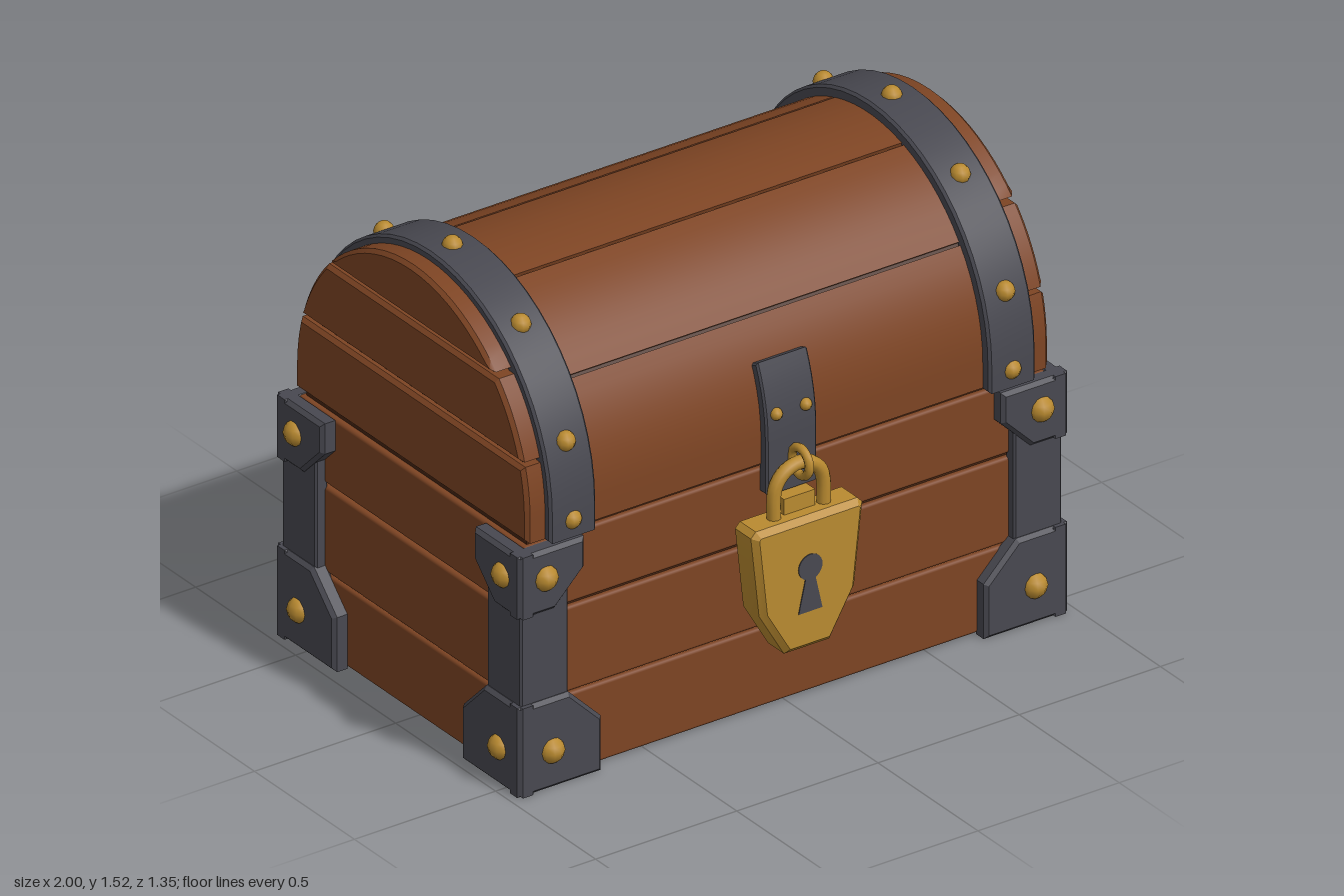
import * as THREE from 'three';
import { toCreasedNormals } from 'three/addons/utils/BufferGeometryUtils.js';
import { RoundedBoxGeometry } from 'three/addons/geometries/RoundedBoxGeometry.js';

const mat = (name, color) => {
  const m = new THREE.MeshStandardMaterial({ color });
  m.name = name;
  return m;
};

const LID_Y = 0.89;   // centre height of the lid arch
const LID_BASE = 0.81;

export function createModel() {
  const wood = mat('wood', 0x7d4423);
  const darkWood = mat('dark wood', 0x452412);
  const iron = mat('iron', 0x484850);
  const brass = mat('brass', 0xb98a30);

  const model = new THREE.Group();
  model.name = 'treasureChest';
  const chest = new THREE.Group();
  chest.name = 'chest';
  chest.position.z = -0.03;
  model.add(chest);

  const add = (name, geo, material, x = 0, y = 0, z = 0, parent = chest) => {
    const m = new THREE.Mesh(geo, material);
    m.name = name;
    m.position.set(x, y, z);
    parent.add(m);
    return m;
  };

  // Bevelled slab centred on its own thickness
  const slab = (pts, t, bevel = 0.012) => {
    const shape = new THREE.Shape(pts.map(p => new THREE.Vector2(p[0], p[1])));
    const geo = new THREE.ExtrudeGeometry(shape, {
      depth: t - 2 * bevel, bevelEnabled: bevel > 0, bevelThickness: bevel,
      bevelSize: bevel, bevelOffset: -bevel, bevelSegments: 1, curveSegments: 8,
    });
    geo.translate(0, 0, -t / 2 + bevel);
    return toCreasedNormals(geo, 0.5);
  };
  // Same slab with its outline in the z-y plane
  const slabX = (pts, t, bevel) => slab(pts, t, bevel).rotateY(-Math.PI / 2);

  // Points on the lid arch, angles in degrees from the front
  const arc = (r, a0, a1, n) => Array.from({ length: n + 1 }, (_, i) => {
    const a = THREE.MathUtils.degToRad(a0 + (a1 - a0) * i / n);
    return [r * Math.cos(a), LID_Y + r * Math.sin(a)];
  });
  // Curved band, optionally with straight legs down to a base height
  const band = (rIn, rOut, a0, a1, n, frontLeg, backLeg) => {
    const side = r => [
      ...(frontLeg ? [[r, frontLeg]] : []), ...arc(r, a0, a1, n),
      ...(backLeg ? [[-r, backLeg]] : []),
    ];
    return [...side(rOut), ...side(rIn).reverse()];
  };

  const rivetGeo = new THREE.SphereGeometry(1, 10, 6);
  const rivet = (r, x, y, z, parent) => add('rivet', rivetGeo, brass, x, y, z, parent).scale.setScalar(r);

  // Box: dark core and three plank courses
  add('boxCore', new THREE.BoxGeometry(1.81, 0.79, 1.1), darkWood, 0, 0.415, 0);
  for (const [y0, y1] of [[0.005, 0.264], [0.27, 0.55], [0.562, 0.792]])
    add('boxPlank', new RoundedBoxGeometry(1.85, y1 - y0, 1.135, 1, 0.01), wood, 0, (y0 + y1) / 2, 0);

  // Lid: dark core, curved planks along the top
  add('lidCore', slabX([[0.55, LID_BASE], ...arc(0.55, 0, 180, 28), [-0.55, LID_BASE]], 1.8, 0), darkWood);
  const seams = [0, 37, 72.5, 107.5, 143, 180];
  for (let i = 0; i < 5; i++) {
    const a0 = seams[i] + (i ? 0.5 : 0), a1 = seams[i + 1] - (i < 4 ? 0.5 : 0);
    add('lidPlank', slabX(band(0.53, 0.572, a0, a1, 7, i === 0 && LID_BASE, i === 4 && LID_BASE), 1.7, 0), wood);
  }

  // Lid end planks, cut to the arch
  const R_END = 0.58;
  const halfWidth = y => Math.sqrt(Math.max(0, R_END ** 2 - Math.max(0, y - LID_Y) ** 2));
  for (const [y0, y1] of [[LID_BASE, 1.052], [1.066, 1.285], [1.3, LID_Y + R_END]]) {
    const right = [], top = y1 >= LID_Y + R_END;
    for (let i = 0; i <= 10; i++) {
      const t = top ? Math.sin(i / 10 * Math.PI / 2) : i / 10;
      const y = y0 + (y1 - y0) * t;
      right.push([halfWidth(y), y]);
    }
    const left = right.slice(0, top ? -1 : undefined).reverse().map(([z, y]) => [-z, y]);
    for (const s of [1, -1])
      add('lidEndPlank', slabX([...right, ...left], 0.125, 0.012), wood, s * 0.8625);
  }

  // Lid straps, their rivets and the rear hinges
  for (const s of [1, -1]) {
    const x = s * 0.778;
    add('lidStrap', slabX(band(0.555, 0.606, 0, 180, 28, 0.802, 0.802), 0.165, 0.008), iron, x);
    for (const a of [-3, 20.5, 55.5, 90, 124.5, 159.5]) {
      const [[z, y]] = arc(a < 0 ? 0.595 : 0.602, a, a, 1);
      rivet(0.032, x, y, z);
    }
    const barrel = new THREE.CylinderGeometry(0.04, 0.04, 0.14, 12).rotateZ(Math.PI / 2);
    add('hingeBarrel', toCreasedNormals(barrel, 0.6), iron, x, 0.805, -0.605);
    add('hingePlate', new THREE.BoxGeometry(0.15, 0.17, 0.04), iron, x, 0.725, -0.575);
    rivet(0.022, s * 0.73, 0.69, -0.596);
  }

  // Corner bracket outline: cut on the inner corner, d is the direction it runs
  const bracket = (w, h, c, d, flip) => [[0, 0], [w, 0], [w, h - c], [w - c, h], [0, h]]
    .map(([x, y]) => [x * d, flip ? h - y : y]);

  // Corners: upright between a lower and an upper bracket, each on two faces
  const fittings = [
    { name: 'lowerBracket', w: 0.295, h: 0.295, c: 0.115, y: 0, out: 0, t: 0.06 },
    { name: 'upperBracket', w: 0.235, h: 0.205, c: 0.105, y: 0.587, out: 0, t: 0.06, flip: true },
    { name: 'upright', w: 0.17, h: 0.42, c: 0.001, y: 0.23, out: 0.014, t: 0.045 },
  ];
  for (const sx of [1, -1]) for (const sz of [1, -1]) {
    const corner = new THREE.Group();
    corner.name = 'cornerFitting';
    chest.add(corner);
    for (const { name, w, h, c, y, out, t, flip } of fittings) {
      const ox = 0.973 - out, oz = 0.612 - out;
      const bevel = out ? 0.006 : 0.012;
      add(name, slab(bracket(w, h, c, -sx, flip), t, bevel), iron, sx * ox, y, sz * (oz - t / 2), corner);
      add(name, slabX(bracket(w, h, c, -sz, flip), t, bevel), iron, sx * (ox - t / 2), y, sz * oz, corner);
    }
    for (const [y, x, z] of [[0.125, 0.855, 0.502], [0.7, 0.878, 0.52]]) {
      rivet(0.042, sx * x, y, sz * 0.602, corner);
      rivet(0.042, sx * 0.96, y, sz * z, corner);
    }
  }

  // Hasp curving down the lid front
  add('hasp', slabX(band(0.56, 0.6, 0, 23.6, 6, 0.715), 0.18, 0.006), iron);
  for (const s of [1, -1]) rivet(0.02, s * 0.052, 0.972, 0.594);

  // Padlock
  const lock = new THREE.Group();
  lock.name = 'padlock';
  lock.position.z = 0.603;
  model.add(lock);
  const half = [[0.08, 0.225], [0.168, 0.375], [0.197, 0.64], [0.18, 0.658]];
  const body = [...half, ...half.map(([x, y]) => [-x, y]).reverse()];
  add('lockBody', slab(body, 0.115, 0.018), brass, 0, 0, 0, lock);
  add('lockNeck', new THREE.BoxGeometry(0.11, 0.06, 0.05), brass, 0, 0.68, -0.02, lock);

  // Keyhole plate: round top over a flared slot
  const hole = new THREE.Shape();
  hole.moveTo(-0.042, 0.35);
  hole.lineTo(0.042, 0.35);
  hole.lineTo(0.018, 0.457);
  hole.absarc(0, 0.495, 0.042, -1.13, Math.PI + 1.13, false);
  add('keyhole', new THREE.ExtrudeGeometry(hole, { depth: 0.004, bevelEnabled: false }), iron, 0, 0, 0.0565, lock);

  // Shackle and the ring it hangs from
  const bow = Array.from({ length: 9 }, (_, i) => {
    const a = Math.PI * i / 8;
    return new THREE.Vector3(0.088 * Math.cos(a), 0.725 + 0.088 * Math.sin(a), 0);
  });
  const path = new THREE.CatmullRomCurve3([
    new THREE.Vector3(0.088, 0.64, 0), ...bow, new THREE.Vector3(-0.088, 0.64, 0)]);
  add('shackle', new THREE.TubeGeometry(path, 28, 0.022, 10), brass, 0, 0, 0, lock);
  add('haspRing', new THREE.TorusGeometry(0.044, 0.014, 8, 20).rotateY(Math.PI / 2), brass, 0, 0.82, 0.01, lock);

  return model;
}
